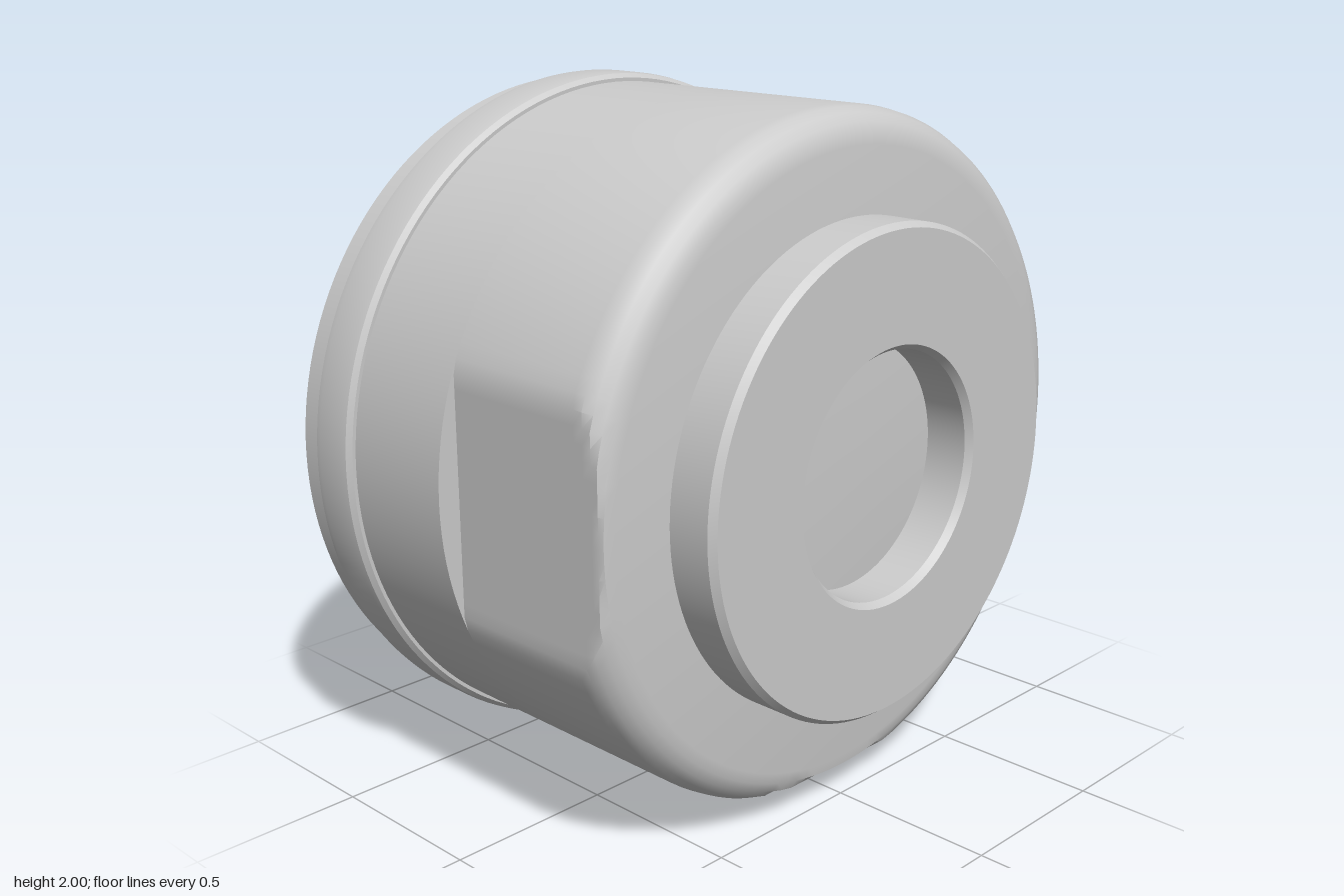
import * as THREE from 'three';
import { toCreasedNormals } from 'three/addons/utils/BufferGeometryUtils.js';

const material = new THREE.MeshStandardMaterial({ color: 0xcccccc });
const FLAT = -0.91; // distance of the two milled flats from the axis

// Profile of [radius, z] pairs, listed from back to front, turned about the z axis
function turned(name, profile, adjust) {
  const points = profile.map(([r, z]) => new THREE.Vector2(r, z));
  const geometry = new THREE.LatheGeometry(points, 144).rotateX(Math.PI / 2);
  if (adjust) adjust(geometry.attributes.position);
  const mesh = new THREE.Mesh(toCreasedNormals(geometry, 0.5), material);
  mesh.name = name;
  return mesh;
}

// Presses the right side and the underside flat
function millFlats(position) {
  for (let i = 0; i < position.count; i++) {
    position.setX(i, Math.max(position.getX(i), FLAT));
    position.setY(i, Math.max(position.getY(i), FLAT));
  }
}

export function createModel() {
  const model = new THREE.Group();
  model.name = 'cylindricalHousing';

  // Full round rear half, closed at both ends
  const rear = turned('rearBody', [[0, -0.655], [0.975, -0.655], [0.975, -0.05], [0, -0.05]]);

  // Front half with rounded shoulder and two flats
  const shoulder = [];
  for (let i = 0; i <= 5; i++) {
    const a = (i / 5) * Math.PI / 2;
    shoulder.push([0.875 + 0.1 * Math.cos(a), 0.405 + 0.1 * Math.sin(a)]);
  }
  const front = turned('frontBody', [[0.975, -0.05], ...shoulder, [0, 0.505]], millFlats);

  // Raised band near the back, with bevelled edges
  const band = turned('rimBand', [
    [0.97, -0.58], [0.985, -0.58], [0.997, -0.565], [1, -0.545],
    [1, -0.45], [0.997, -0.43], [0.985, -0.415], [0.97, -0.415],
  ]);

  // Front boss with a recessed bore down to the front face
  const boss = turned('frontBoss', [
    [0.69, 0.5], [0.69, 0.635], [0.675, 0.655], [0.365, 0.655], [0.35, 0.635], [0.35, 0.5],
  ]);

  model.add(rear, front, band, boss);
  model.children.forEach((part) => { part.position.y = 1; });
  return model;
}
